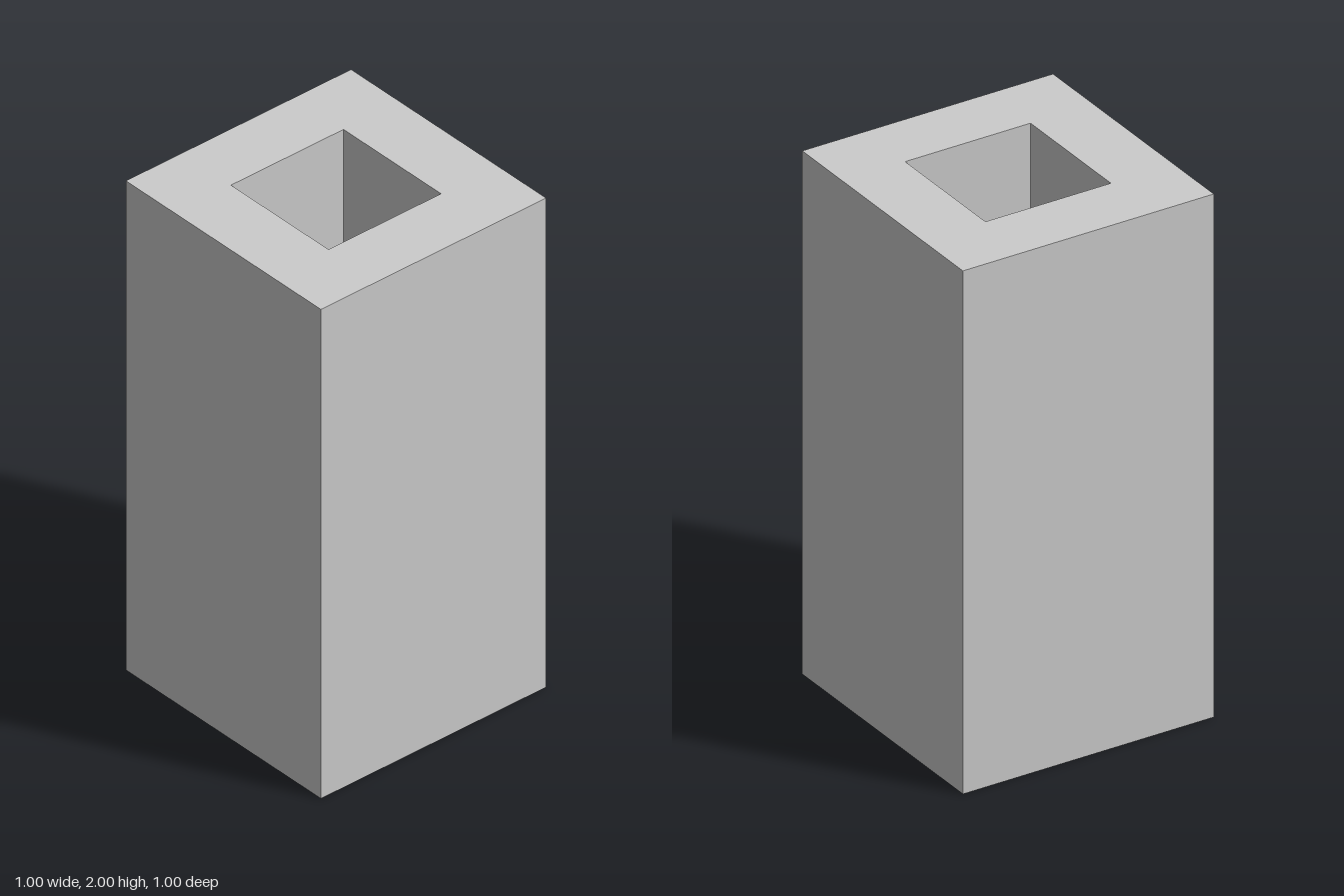
import * as THREE from 'three';

const HALF = 0.5;       // half width of the block
const HOLE = 0.25;      // half width of the square well
const HEIGHT = 2;
const FLOOR = 0.25;     // thickness of the solid base, same as the walls

export function createModel() {
  const group = new THREE.Group();
  group.name = 'hollowBlock';

  // Cross-section from the base centre, up the outside, over the rim and down the well
  const profile = [
    [0, 0], [HALF, 0], [HALF, HEIGHT],
    [HOLE, HEIGHT], [HOLE, FLOOR], [0, FLOOR],
  ].map(([half, y]) => new THREE.Vector2(half * Math.SQRT2, y));

  // Four segments, turned by an eighth, give a square plan aligned with the axes
  const geometry = new THREE.LatheGeometry(profile, 4, Math.PI / 4);
  const material = new THREE.MeshStandardMaterial({ color: 0xcccccc, flatShading: true });

  const block = new THREE.Mesh(geometry, material);
  block.name = 'squareBlockWithWell';
  group.add(block);
  return group;
}
